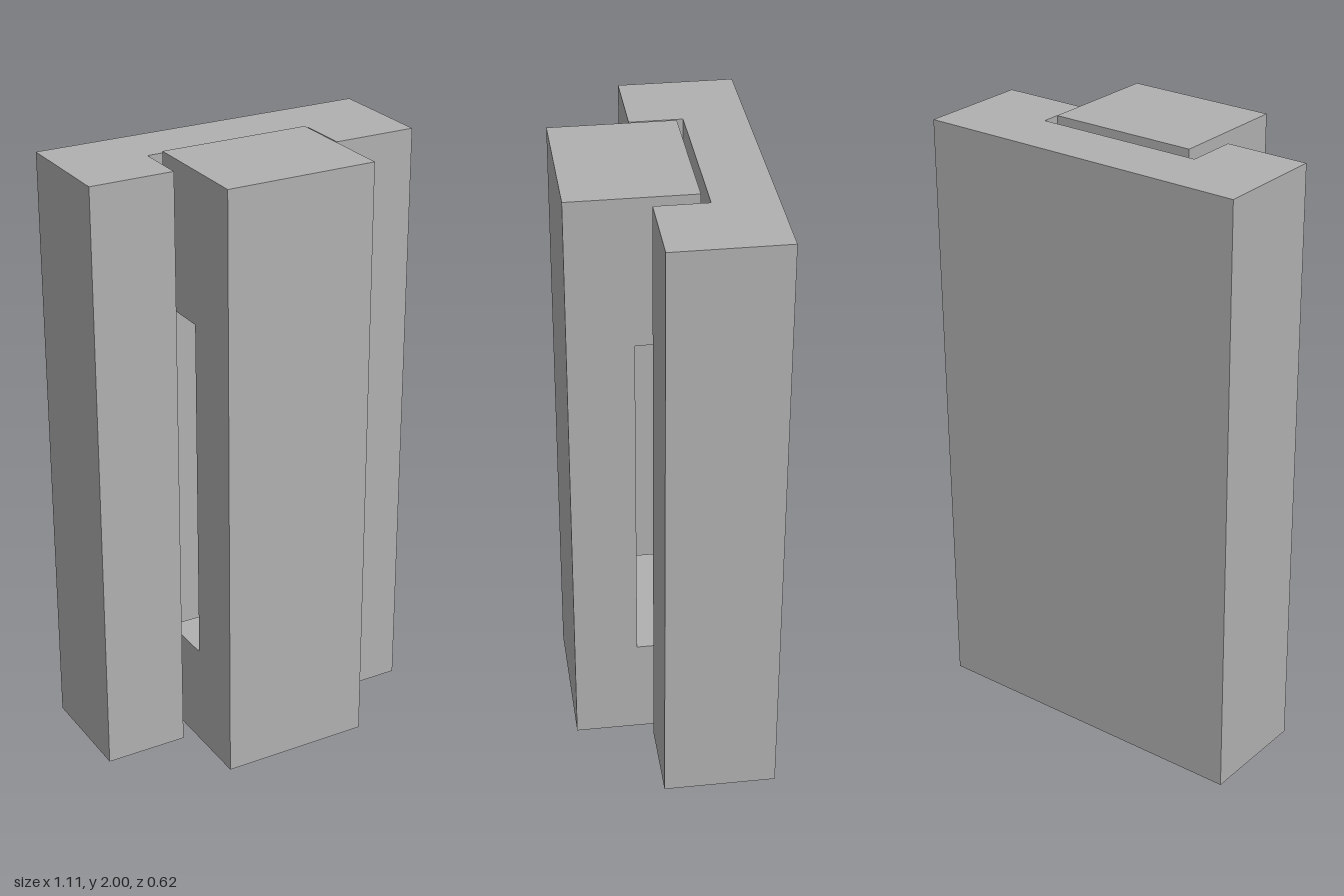
import * as THREE from 'three';

const grey = new THREE.MeshStandardMaterial({ color: 0xb0b0b0 });
grey.name = 'plain grey';

// Extrudes a closed outline along z
function extrude(points, depth) {
  const shape = new THREE.Shape(points.map(([a, b]) => new THREE.Vector2(a, b)));
  return new THREE.ExtrudeGeometry(shape, { depth, bevelEnabled: false });
}

export function createModel() {
  const model = new THREE.Group();
  model.name = 'slidingBlock';

  // Upright channel: U-shaped plan, listed as [x, z]
  const plan = [
    [-0.555, 0.055], [-0.28, 0.055], [-0.28, -0.113], [0.28, -0.113],
    [0.28, 0.055], [0.555, 0.055], [0.555, -0.31], [-0.555, -0.31],
  ];
  const channelGeometry = extrude(plan.map(([x, z]) => [x, -z]), 1.985);
  channelGeometry.rotateX(-Math.PI / 2);
  const channel = new THREE.Mesh(channelGeometry, grey);
  channel.name = 'channel';
  model.add(channel);

  // Slider: C-shaped side profile with a long recess in its back, listed as [z, y]
  const profile = [
    [0.31, 0.015], [0.31, 2], [-0.088, 2], [-0.088, 1.51],
    [0.105, 1.51], [0.105, 0.355], [-0.088, 0.355], [-0.088, 0.015],
  ];
  const sliderGeometry = extrude(profile.map(([z, y]) => [-z, y]), 0.495);
  sliderGeometry.rotateY(Math.PI / 2);
  const slider = new THREE.Mesh(sliderGeometry, grey);
  slider.name = 'slider';
  slider.position.x = -0.243;
  model.add(slider);

  return model;
}
